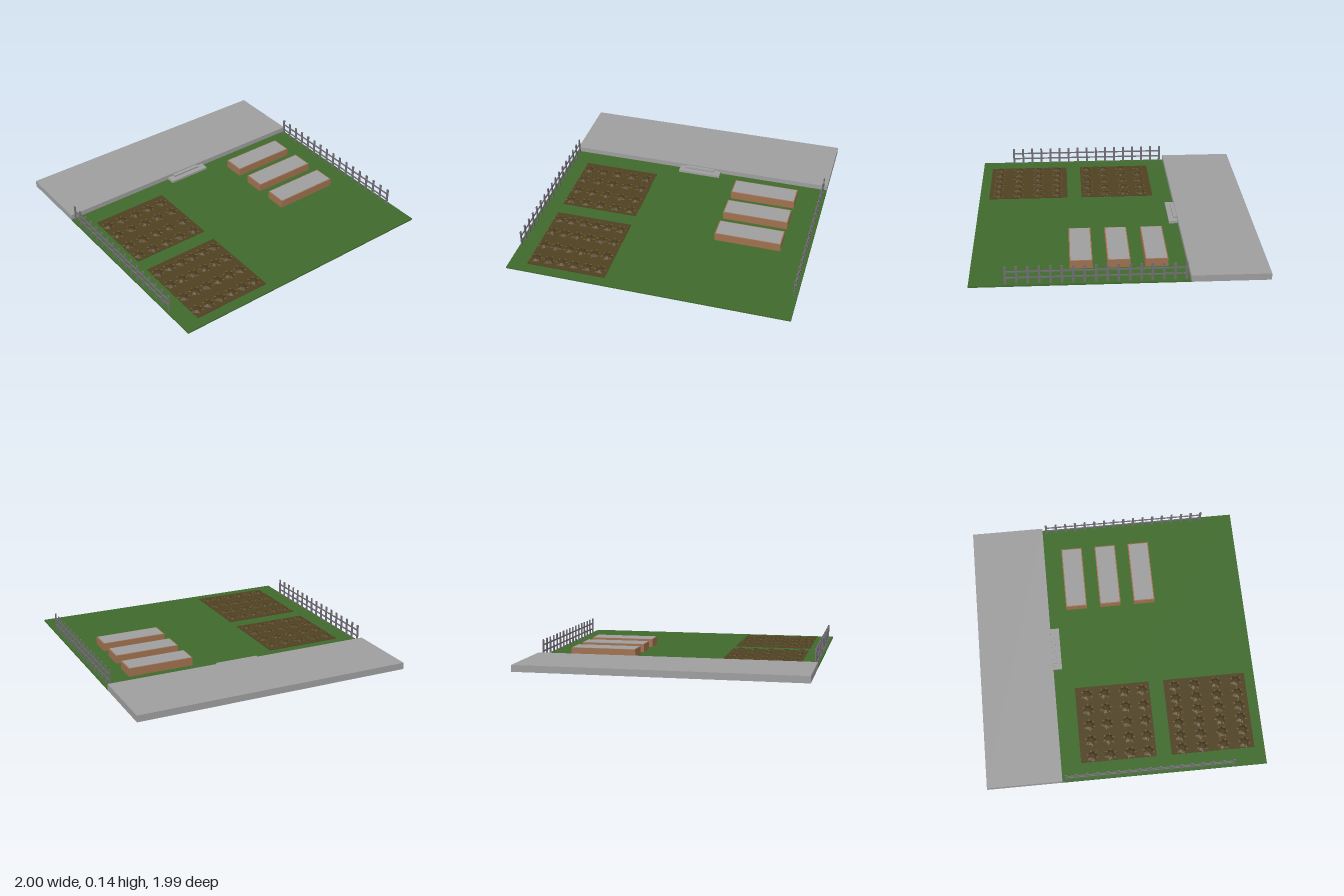
import * as THREE from 'three';

const mat = (name, color, side = THREE.FrontSide) => {
  const m = new THREE.MeshStandardMaterial({ color, side });
  m.name = name;
  return m;
};

export function createModel() {
  const root = new THREE.Group();
  root.name = 'garden';
  const stone = mat('stone grey', 0x9e9e9e);
  const grass = mat('grass green', 0x406a2c);
  const wood = mat('planter brown', 0xa0714f);
  const soil = mat('soil brown', 0x4e4122);
  const crop = mat('crop dark brown', 0x483b1f);
  const leaf = mat('leaf tan', 0x735a32, THREE.DoubleSide);
  const metal = mat('fence grey', 0x716e74);

  // box given by its minimum and maximum corners
  const box = (parent, name, material, x0, x1, y0, y1, z0, z1) => {
    const mesh = new THREE.Mesh(new THREE.BoxGeometry(x1 - x0, y1 - y0, z1 - z0), material);
    mesh.position.set((x0 + x1) / 2, (y0 + y1) / 2, (z0 + z1) / 2);
    mesh.name = name;
    parent.add(mesh);
    return mesh;
  };
  const group = (name) => {
    const g = new THREE.Group();
    g.name = name;
    root.add(g);
    return g;
  };

  // ground
  box(root, 'terrace', stone, -1, -0.465, 0, 0.047, -0.995, 0.995);
  box(root, 'lawn', grass, -0.465, 1, 0, 0.01, -0.995, 0.995);

  // steps down from the terrace
  const steps = group('steps');
  box(steps, 'lowerStep', stone, -0.465, -0.402, 0.01, 0.027, -0.168, 0.15);
  box(steps, 'upperStep', stone, -0.465, -0.438, 0.027, 0.04, -0.115, 0.105);

  // raised planters with pale tops
  for (const x of [-0.255, 0, 0.255]) {
    const planter = group('planter');
    box(planter, 'planterBox', wood, x - 0.078, x + 0.078, 0.01, 0.068, -0.793, -0.317);
    box(planter, 'planterTop', stone, x - 0.071, x + 0.071, 0.068, 0.07, -0.786, -0.324);
  }

  // fences along both short edges
  for (const z of [-0.97, 0.976]) {
    const fence = group('fence');
    for (let i = 0; i < 17; i++) {
      const x = -0.435 + i * 0.0745;
      box(fence, 'fencePost', metal, x - 0.008, x + 0.008, 0.01, 0.137, z - 0.004, z + 0.004);
    }
    for (const y of [0.053, 0.097])
      box(fence, 'fenceRail', metal, -0.435, 0.757, y - 0.005, y + 0.005, z - 0.003, z + 0.003);
  }

  // low faceted mound and a ring of pointed leaves
  const moundGeo = new THREE.CylinderGeometry(0.018, 0.037, 0.012, 8).toNonIndexed();
  moundGeo.computeVertexNormals();
  const points = [];
  for (let i = 0; i < 6; i++) {
    const a = (i / 6) * Math.PI * 2 + Math.PI / 6;
    const at = (r, t, y) => points.push(r * Math.cos(t), y, r * Math.sin(t));
    at(0.03, a + 0.26, 0.006);
    at(0.03, a - 0.26, 0.006);
    at(0.05, a, 0.003);
  }
  const leafGeo = new THREE.BufferGeometry();
  leafGeo.setAttribute('position', new THREE.Float32BufferAttribute(points, 3));
  leafGeo.computeVertexNormals();

  // vegetable plots planted in a grid
  const plots = [
    { x0: -0.322, x1: 0.222, xs: [-0.238, -0.108, 0.037, 0.168], z0: 0.365, dz: 0.115, rows: 5 },
    { x0: 0.33, x1: 0.928, xs: [0.407, 0.555, 0.71, 0.86], z0: 0.36, dz: 0.0935, rows: 6 },
  ];
  for (const p of plots) {
    const plot = group('vegetablePlot');
    box(plot, 'soilBed', soil, p.x0, p.x1, 0.01, 0.013, 0.305, 0.868);
    p.xs.forEach((x, c) => {
      for (let r = 0; r < p.rows; r++) {
        const plant = new THREE.Group();
        plant.name = 'plant';
        plant.position.set(x, 0.013, p.z0 + r * p.dz);
        plant.rotation.y = c * 0.7 + r * 1.1;
        const mound = new THREE.Mesh(moundGeo, crop);
        mound.name = 'plantMound';
        mound.position.y = 0.006;
        const leaves = new THREE.Mesh(leafGeo, leaf);
        leaves.name = 'plantLeaves';
        plant.add(mound, leaves);
        plot.add(plant);
      }
    });
  }
  return root;
}
